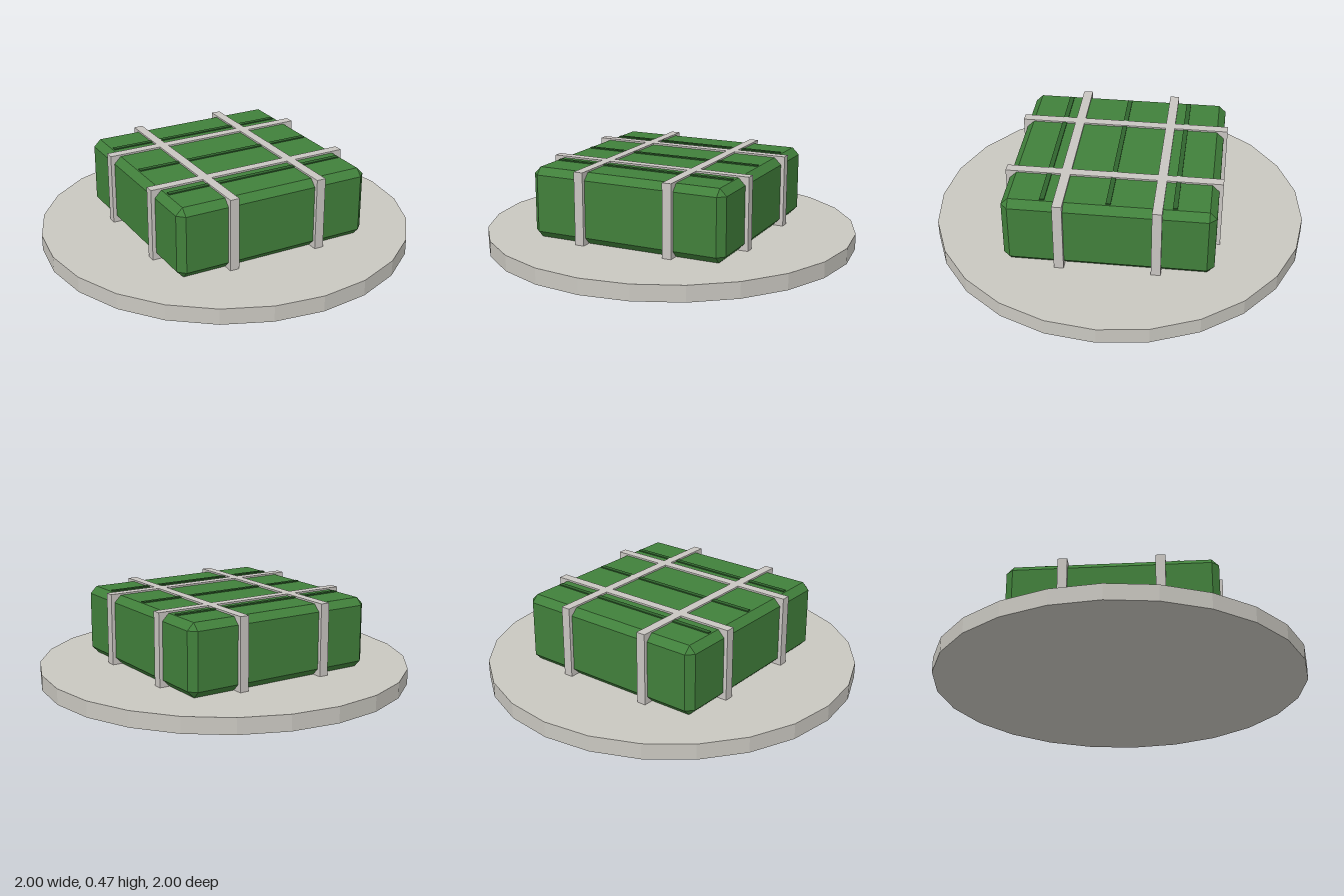
import * as THREE from 'three';
import { ConvexGeometry } from 'three/addons/geometries/ConvexGeometry.js';

const material = (name, color) => {
  const m = new THREE.MeshStandardMaterial({ color, flatShading: true });
  m.name = name;
  return m;
};

// Box with all edges cut at 45 degrees, centred on the origin
function chamferedBox(w, h, d, c) {
  const points = [];
  for (const sx of [-1, 1]) for (const sy of [-1, 1]) for (const sz of [-1, 1]) {
    const x = w / 2, y = h / 2, z = d / 2;
    points.push(
      new THREE.Vector3(sx * x, sy * (y - c), sz * (z - c)),
      new THREE.Vector3(sx * (x - c), sy * y, sz * (z - c)),
      new THREE.Vector3(sx * (x - c), sy * (y - c), sz * z)
    );
  }
  return new ConvexGeometry(points);
}

export function createModel() {
  const model = new THREE.Group();
  model.name = 'strappedCrate';
  const stone = material('pale stone', 0xc9c7c0);
  const strapGrey = material('strap grey', 0xc9c5c1);
  const green = material('crate green', 0x41803b);
  const darkGreen = material('dark green', 0x30642d);

  const add = (name, geometry, mat, x, y, z) => {
    const mesh = new THREE.Mesh(geometry, mat);
    mesh.name = name;
    mesh.position.set(x, y, z);
    model.add(mesh);
  };

  // Round base
  const baseTop = 0.085;
  add('base', new THREE.CylinderGeometry(1, 1, baseTop, 24), stone, 0, baseTop / 2, 0);

  // Crate body
  const crateTop = 0.463, crateHeight = crateTop - baseTop;
  add('crate', chamferedBox(1.09, crateHeight, 1.09, 0.037), green, 0, baseTop + crateHeight / 2, 0);

  // Slat lines across the lid
  for (const z of [-0.335, 0, 0.335])
    add('lidSlat', new THREE.BoxGeometry(1, 0.008, 0.025), darkGreen, 0, crateTop + 0.002, z);

  // Straps both ways over the crate
  const strapHeight = 0.472 - baseTop, strapY = baseTop + strapHeight / 2;
  for (const s of [-0.25, 0.25]) {
    add('lengthStrap', new THREE.BoxGeometry(0.05, strapHeight, 1.13), strapGrey, s, strapY, 0);
    add('crossStrap', new THREE.BoxGeometry(1.13, strapHeight, 0.05), strapGrey, 0, strapY, s);
  }
  return model;
}
